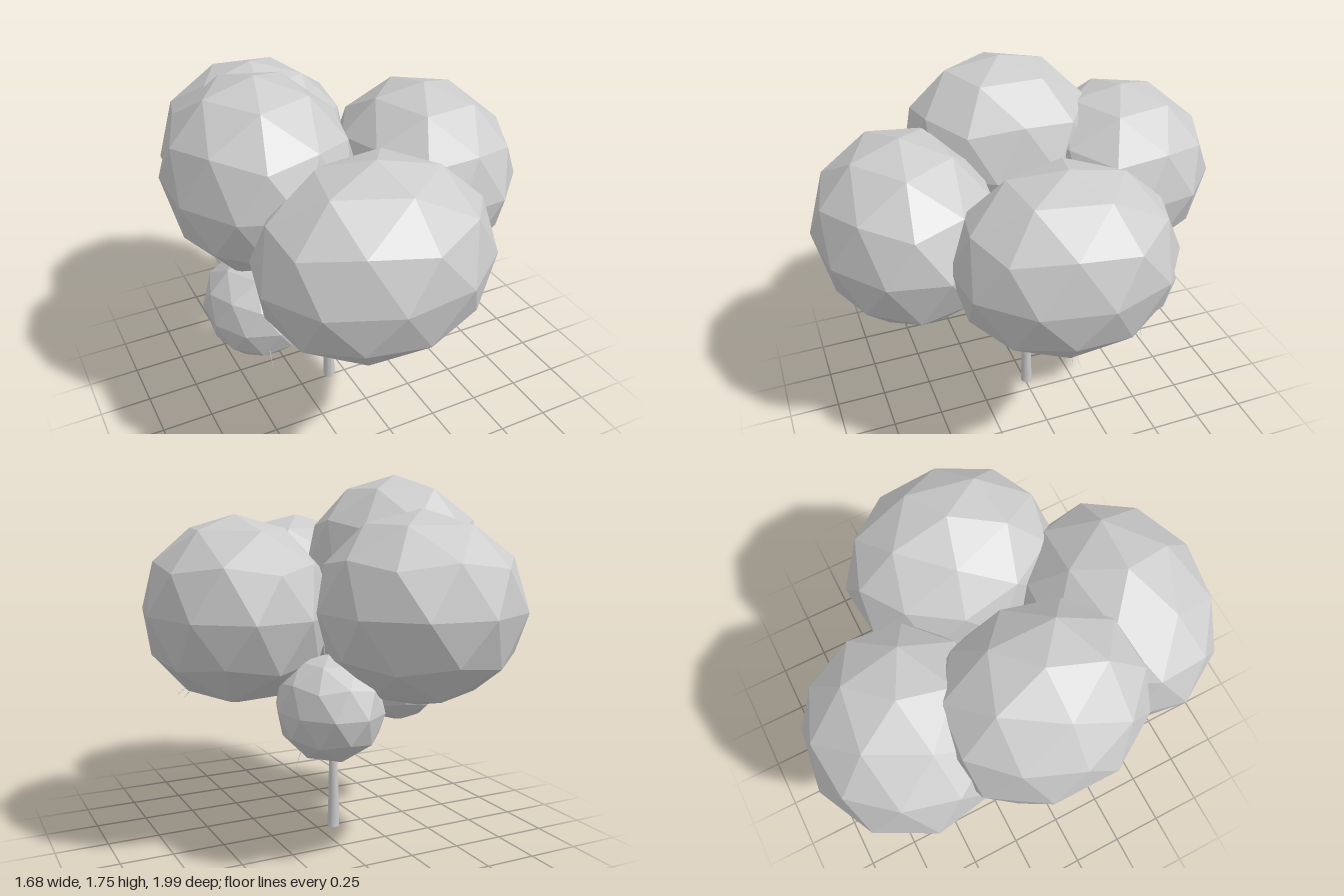
import * as THREE from 'three';

const V = (p) => new THREE.Vector3(...p);

export function createModel() {
  const tree = new THREE.Group();
  tree.name = 'tree';
  const bark = new THREE.MeshStandardMaterial({ color: 0xcccccc });
  const leaf = new THREE.MeshStandardMaterial({ color: 0xcccccc, flatShading: true });

  // Tapered tube along a smooth path
  function limb(name, points, r0, r1, sides = 8) {
    const curve = new THREE.CatmullRomCurve3(points.map(V));
    const segs = points.length * 3;
    const geo = new THREE.TubeGeometry(curve, segs, 1, sides);
    const pos = geo.attributes.position;
    const p = new THREE.Vector3();
    for (let i = 0; i < pos.count; i++) {
      const t = Math.floor(i / (sides + 1)) / segs;
      const c = curve.getPointAt(t);
      p.fromBufferAttribute(pos, i).sub(c).multiplyScalar(r0 + (r1 - r0) * t).add(c);
      pos.setXYZ(i, p.x, p.y, p.z);
    }
    geo.computeVertexNormals();
    const mesh = new THREE.Mesh(geo, bark);
    mesh.name = name;
    tree.add(mesh);
  }

  // Faceted ball of leaves with one corner pointing straight up
  function crown(name, center, radii, turn) {
    const geo = new THREE.IcosahedronGeometry(1, 1);
    geo.rotateZ(Math.atan2(2, 1 + Math.sqrt(5)));
    geo.rotateY(turn);
    geo.scale(...radii);
    const mesh = new THREE.Mesh(geo, leaf);
    mesh.name = name;
    mesh.position.set(...center);
    tree.add(mesh);
  }

  // Foliage
  crown('frontCrown', [-0.14, 1.10, 0.56], [0.54, 0.45, 0.44], Math.PI - 0.17);
  crown('leftCrown', [0.42, 1.135, -0.01], [0.43, 0.435, 0.515], -0.23);
  crown('rightCrown', [-0.42, 1.30, 0], [0.43, 0.45, 0.49], 0);
  crown('backCrown', [-0.23, 1.17, -0.55], [0.475, 0.43, 0.45], 0.17);
  crown('lowRightCrown', [-0.52, 0.72, 0.14], [0.24, 0.245, 0.28], 0);
  crown('lowBackCrown', [0.15, 0.74, -0.43], [0.235, 0.24, 0.28], 0.2);

  // Trunk with a closed foot
  limb('trunk', [[-0.085, 0, -0.01], [-0.086, 0.2, -0.01], [-0.08, 0.44, -0.01]], 0.03, 0.019, 12);
  const foot = new THREE.Mesh(new THREE.CircleGeometry(0.03, 12).rotateX(Math.PI / 2), bark);
  foot.name = 'trunkFoot';
  foot.position.set(-0.085, 0.001, -0.01);
  tree.add(foot);

  // Main branches, each reaching into a crown
  const branches = [
    [[-0.085, 0.38, -0.01], [-0.10, 0.50, 0.03], [-0.13, 0.68, 0.13], [-0.14, 1.0, 0.45]],
    [[-0.08, 0.38, -0.01], [-0.06, 0.50, -0.02], [0.01, 0.68, -0.03], [0.35, 1.05, -0.02]],
    [[-0.085, 0.40, -0.01], [-0.11, 0.50, 0], [-0.20, 0.68, 0.01], [-0.38, 1.15, 0]],
    [[-0.08, 0.38, -0.01], [-0.09, 0.50, -0.05], [-0.13, 0.68, -0.12], [-0.22, 1.05, -0.45]],
    [[-0.09, 0.41, -0.01], [-0.14, 0.52, 0.03], [-0.27, 0.66, 0.08], [-0.46, 0.74, 0.13]],
    [[-0.08, 0.38, -0.01], [-0.04, 0.50, -0.07], [0.03, 0.61, -0.18], [0.13, 0.70, -0.38]],
  ];
  for (const b of branches) limb('branch', b, 0.017, 0.007);

  // Side shoots in the fork
  const shoots = [
    [[-0.06, 0.50, -0.02], [0, 0.58, 0.02], [0.10, 0.625, 0.04]],
    [[-0.12, 0.65, 0.11], [-0.06, 0.74, 0.12], [0, 0.86, 0.2]],
    [[-0.03, 0.60, -0.03], [-0.02, 0.75, -0.06], [0.04, 1.0, -0.14]],
    [[-0.15, 0.58, 0], [-0.14, 0.70, -0.02], [-0.10, 0.90, 0.02]],
    [[-0.11, 0.60, -0.09], [-0.05, 0.70, -0.14], [0, 0.84, -0.25]],
  ];
  for (const s of shoots) limb('shoot', s, 0.01, 0.004, 6);

  // Fine twigs poking out of the leaves
  const twigs = [
    [[0.58, 0.86, 0.02], [0.64, 0.80, 0.03], [0.70, 0.755, 0.03]],
    [[0.58, 0.84, 0.02], [0.63, 0.77, 0.04], [0.66, 0.735, 0.05]],
    [[0.24, 0.64, -0.45], [0.30, 0.57, -0.46], [0.33, 0.50, -0.47]],
    [[-0.55, 0.68, 0.30], [-0.56, 0.62, 0.38], [-0.56, 0.55, 0.41]],
    [[0.04, 1.0, -0.14], [0.07, 1.2, -0.18], [0.12, 1.36, -0.21]],
    [[0.04, 1.0, -0.14], [0.06, 1.2, -0.16], [0.07, 1.33, -0.14]],
  ];
  for (const t of twigs) limb('twig', t, 0.003, 0.001, 5);

  return tree;
}
